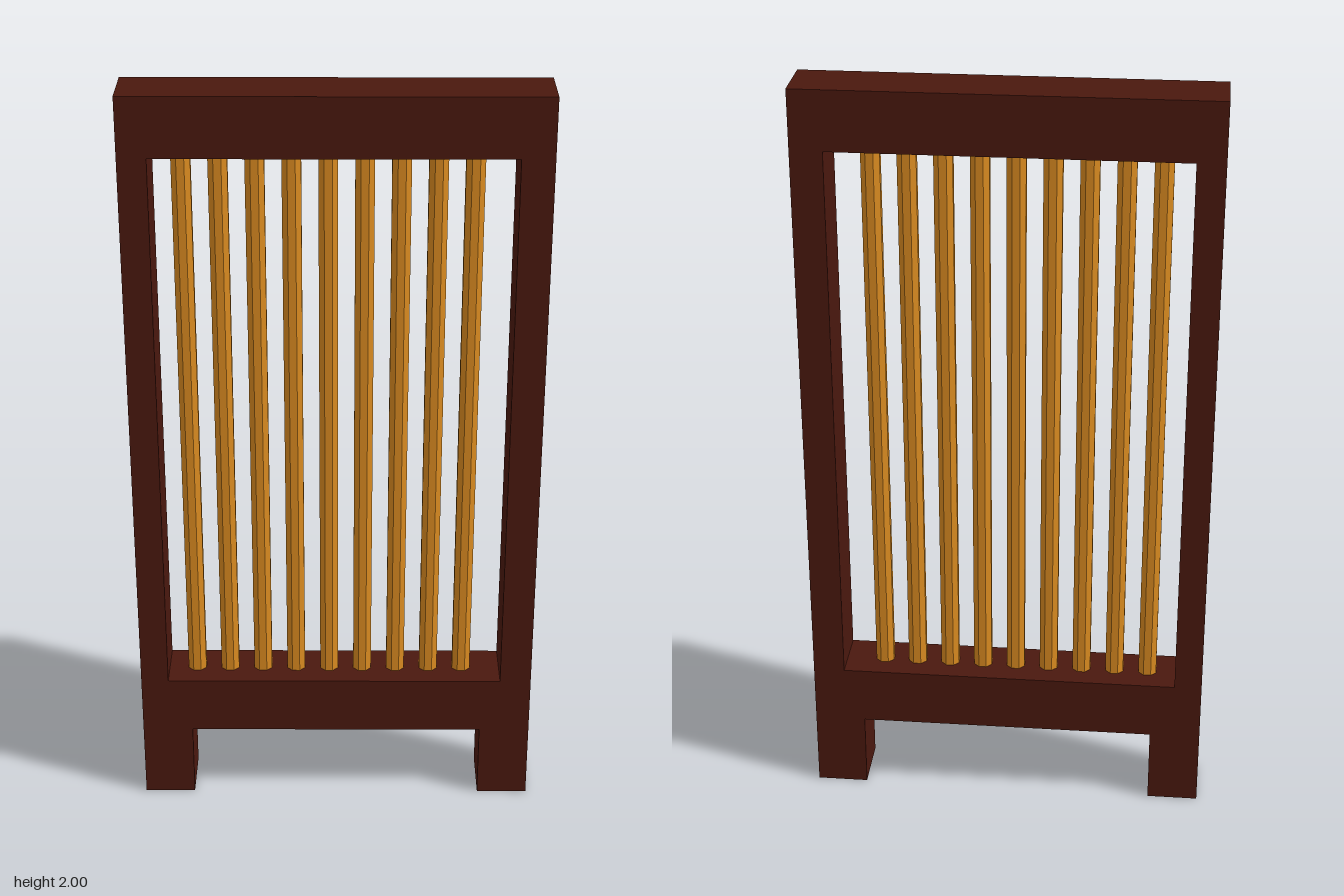
import * as THREE from 'three';

const DEPTH = 0.156;

export function createModel() {
  const model = new THREE.Group();
  model.name = 'slattedPanel';
  const darkWood = new THREE.MeshStandardMaterial({ color: 0x4a180e });
  const lightWood = new THREE.MeshStandardMaterial({ color: 0xd98a20, flatShading: true });

  // Frame: posts, rails and two feet in one outline with a window
  const outline = new THREE.Shape([
    [-0.528, 0], [-0.393, 0], [-0.393, 0.205], [0.393, 0.205],
    [0.393, 0], [0.528, 0], [0.528, 2], [-0.528, 2],
  ].map(([x, y]) => new THREE.Vector2(x, y)));
  const left = -0.455, right = 0.445, bottom = 0.362, top = 1.845;
  outline.holes.push(new THREE.Path([
    [left, bottom], [left, top], [right, top], [right, bottom],
  ].map(([x, y]) => new THREE.Vector2(x, y))));
  const frameGeometry = new THREE.ExtrudeGeometry(outline, { depth: DEPTH, bevelEnabled: false });
  frameGeometry.translate(0, 0, -DEPTH / 2);
  const frame = new THREE.Mesh(frameGeometry, darkWood);
  frame.name = 'frame';
  model.add(frame);

  // Row of upright bars; the last one is partly sunk into the post
  const bars = new THREE.Group();
  bars.name = 'bars';
  const barGeometry = new THREE.CylinderGeometry(0.026, 0.026, top - bottom, 8);
  barGeometry.rotateY(Math.PI / 8);
  for (let i = 0; i < 9; i++) {
    const bar = new THREE.Mesh(barGeometry, lightWood);
    bar.name = `bar${i + 1}`;
    bar.position.set(-0.379 + i * 0.09, (top + bottom) / 2, 0);
    bars.add(bar);
  }
  model.add(bars);
  return model;
}
